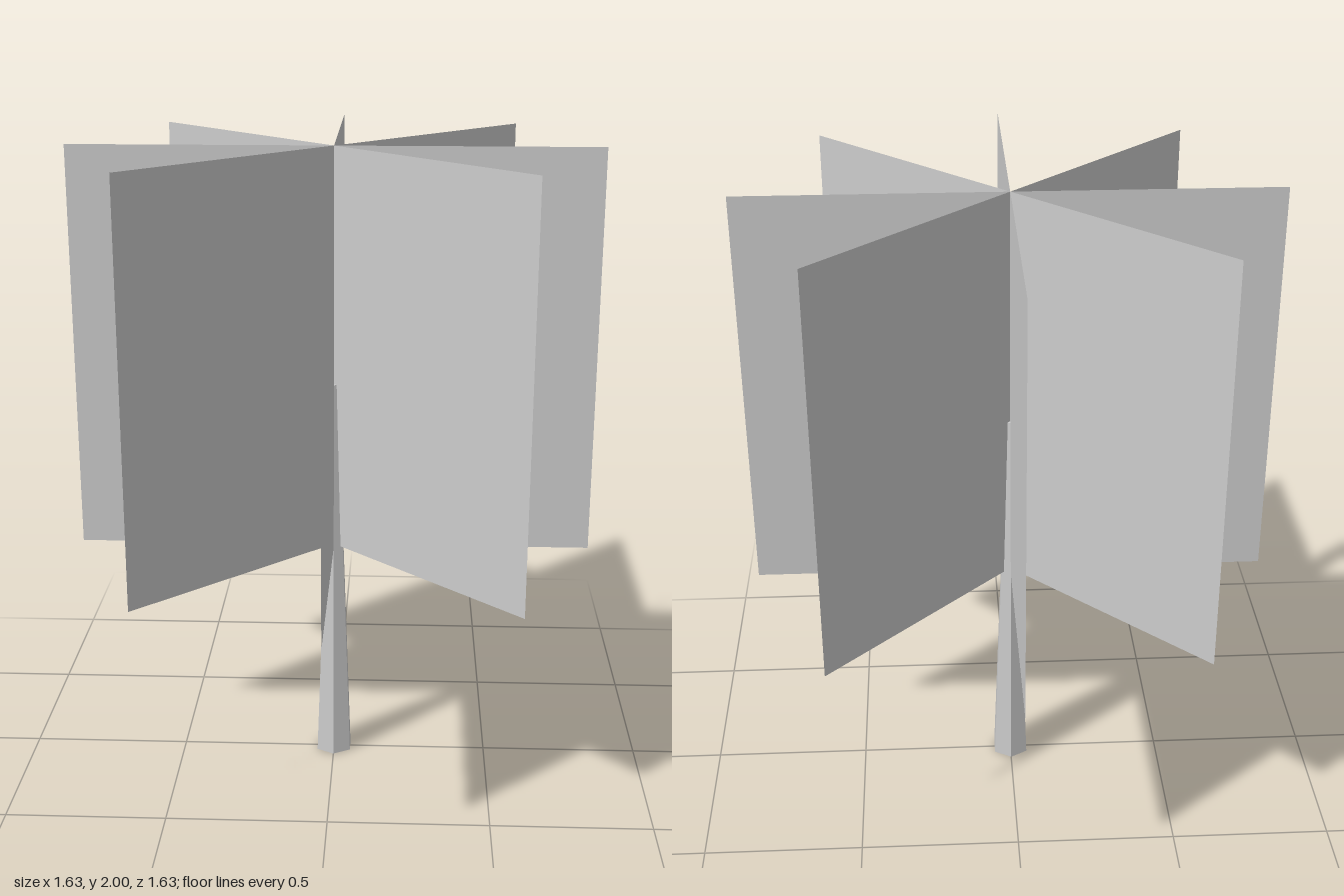
import * as THREE from 'three';

export function createModel() {
  const model = new THREE.Group();

  // Tapered six-sided trunk, a corner facing the front
  const trunk = new THREE.Mesh(
    new THREE.CylinderGeometry(0.013, 0.0625, 1.26, 6),
    new THREE.MeshStandardMaterial({ color: 0xcccccc, flatShading: true })
  );
  trunk.name = 'trunk';
  trunk.position.y = 0.63;
  model.add(trunk);

  // Four upright foliage cards crossing on the trunk axis
  const foliage = new THREE.Group();
  foliage.name = 'foliage';
  const bottom = 0.725, top = 2;
  const cardShape = new THREE.PlaneGeometry(1.63, top - bottom);
  const cardMaterial = new THREE.MeshStandardMaterial({ color: 0xcccccc, side: THREE.DoubleSide });
  for (let i = 0; i < 4; i++) {
    const card = new THREE.Mesh(cardShape, cardMaterial);
    card.name = `foliageCard${i + 1}`;
    card.position.y = (bottom + top) / 2;
    card.rotation.y = (i * Math.PI) / 4;
    foliage.add(card);
  }
  model.add(foliage);

  return model;
}
